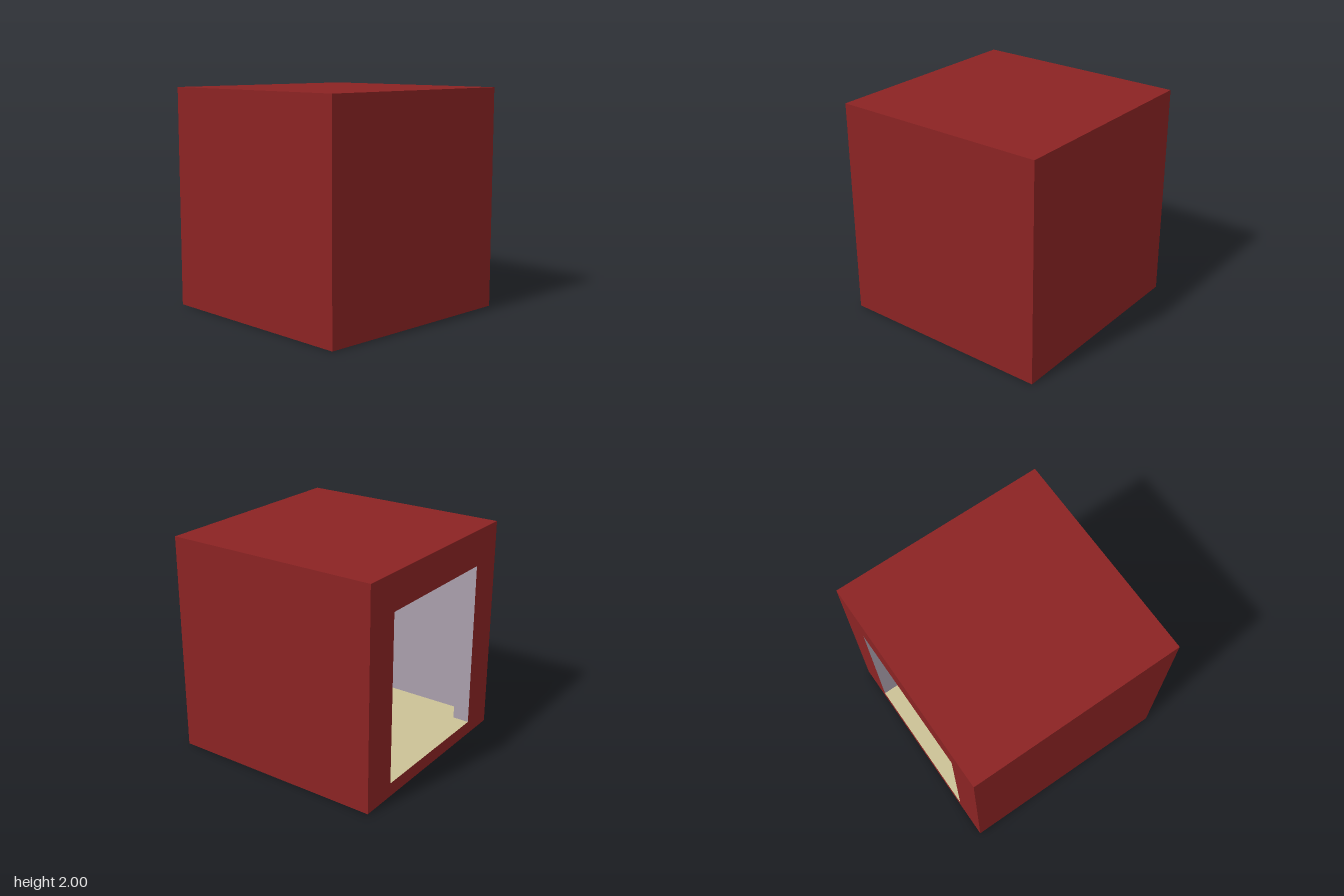
import * as THREE from 'three';

function material(name, color) {
  const m = new THREE.MeshStandardMaterial({ color });
  m.name = name;
  return m;
}

export function createModel() {
  const red = material('outerRed', 0x8b2323);
  const grey = material('innerGrey', 0xaa9fac);
  const tan = material('floorTan', 0xcbc296);
  const model = new THREE.Group();
  model.name = 'openRoom';

  // Box between two corners; faces are ordered +x, -x, +y, -y, +z, -z
  function slab(name, min, max, faces) {
    const size = max.map((v, i) => v - min[i]);
    const mesh = new THREE.Mesh(new THREE.BoxGeometry(...size), faces);
    mesh.position.set(...max.map((v, i) => (v + min[i]) / 2));
    mesh.name = name;
    model.add(mesh);
  }

  const floorY = 0.125, ceilingY = 1.87; // room height
  const wallX = 0.867, frontZ = 0.79, backZ = -0.845; // inner wall planes
  const doorX = 0.667, doorY = 1.67; // opening in the back

  // Floor and roof
  slab('floor', [-1, 0, -1], [1, floorY, 1], [red, red, tan, red, red, red]);
  slab('roof', [-1, ceilingY, -1], [1, 2, 1], [red, red, red, grey, red, red]);

  // Front wall
  slab('frontWall', [-wallX, floorY, frontZ], [wallX, ceilingY, 1],
    [grey, grey, grey, grey, red, grey]);

  // Side walls
  slab('leftWall', [wallX, floorY, -1], [1, ceilingY, 1],
    [red, grey, grey, grey, red, red]);
  slab('rightWall', [-1, floorY, -1], [-wallX, ceilingY, 1],
    [grey, red, grey, grey, red, red]);

  // Frame around the back opening
  const frame = [grey, grey, grey, grey, grey, red];
  slab('leftJamb', [doorX, floorY, -1], [wallX, ceilingY, backZ], frame);
  slab('rightJamb', [-wallX, floorY, -1], [-doorX, ceilingY, backZ], frame);
  slab('lintel', [-doorX, doorY, -1], [doorX, ceilingY, backZ], frame);

  return model;
}
